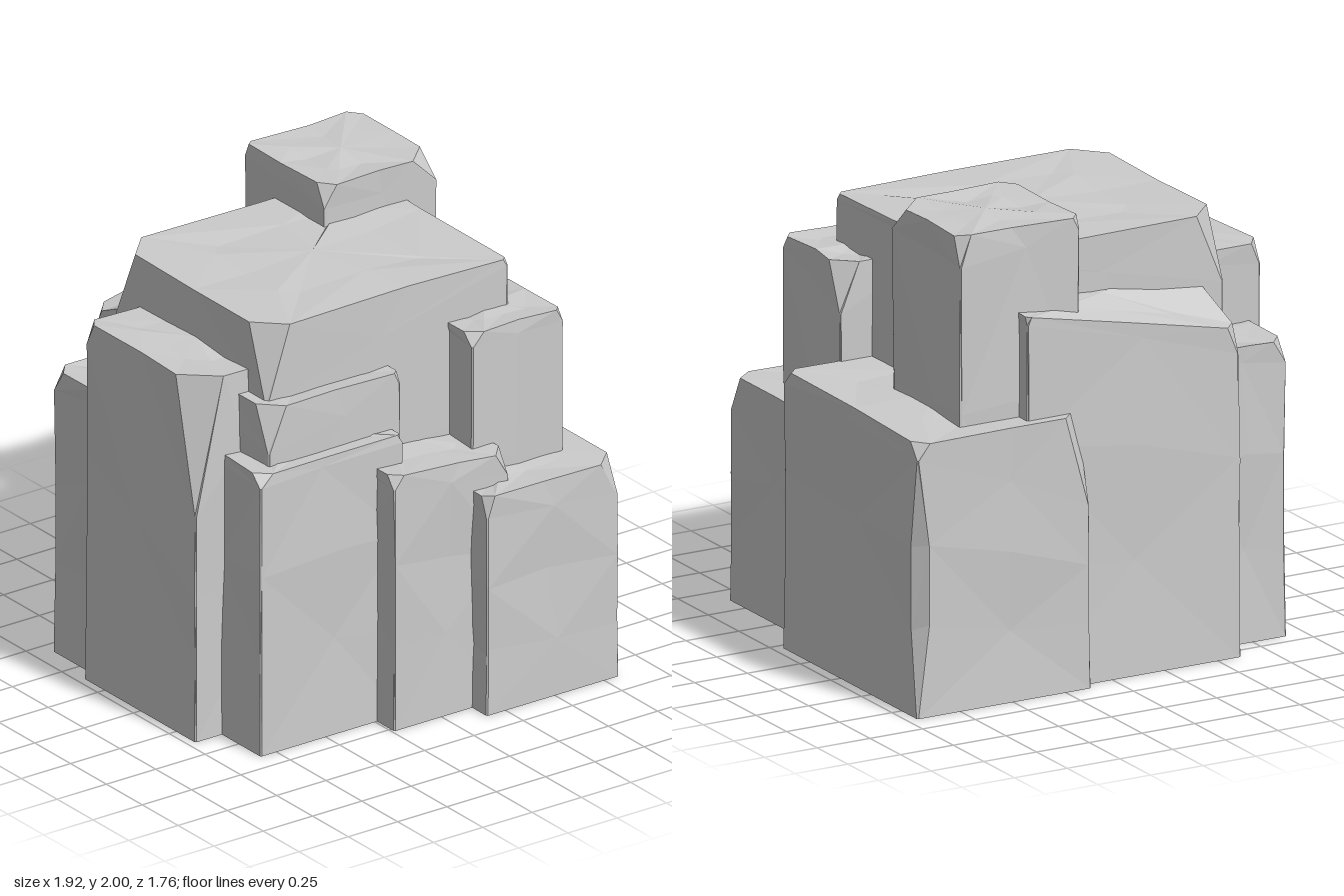
import * as THREE from 'three';

// Small seeded generator for the chiselled unevenness
let seed = 7;
const rnd = () => {
  seed = (seed * 16807) % 2147483647;
  return seed / 2147483647;
};

const material = new THREE.MeshStandardMaterial({ color: 0xcccccc, flatShading: true });

// One stone block. Corners run front-left, front-right, back-right, back-left (-x is "left" here).
// h: top height per corner; cuts: [width, drop] of each top corner bevel; waist: corner bevel at mid height.
function block(name, [x0, x1], [z0, z1], h, cuts, waist = [0, 0, 0, 0]) {
  const heights = Array.isArray(h) ? h : [h, h, h, h];
  const corners = [[x0, z1], [x1, z1], [x1, z0], [x0, z0]];
  const cx = (x0 + x1) / 2, cz = (z0 + z1) / 2;
  const pos = [], index = [], N = 12;
  const toward = (a, b, d) => {
    const l = Math.hypot(b[0] - a[0], b[1] - a[1]);
    return [a[0] + (b[0] - a[0]) * d / l, a[1] + (b[1] - a[1]) * d / l];
  };

  // Rings from the ground to the top rim; corner bevels open only at the last one
  const levels = [0, 0.33, 0.66, 1, 'rim'];
  levels.forEach((t) => {
    const rim = t === 'rim';
    for (let c = 0; c < 4; c++) {
      const p = corners[c], prev = corners[(c + 3) % 4], next = corners[(c + 1) % 4];
      const n = (c + 1) % 4;
      const w = rim ? cuts[c][0] : 0.006 + (t > 0 && t < 1 ? waist[c] : 0);
      const y = rim ? heights[c] : t * (heights[c] - cuts[c][1]);
      const yMid = rim ? (heights[c] + heights[n]) / 2
        : t * ((heights[c] + heights[n]) / 2 - (cuts[c][1] + cuts[n][1]) / 2);
      const k = 0.4 + rnd() * 0.2;
      const mid = [p[0] + (next[0] - p[0]) * k, p[1] + (next[1] - p[1]) * k];
      [[toward(p, prev, w), y, 0.008], [toward(p, next, w), y, 0.008], [mid, yMid, 0.02]].forEach(([q, yy, j]) => {
        const s = t === 0 ? 0 : rnd() * j;
        const dy = rim ? -rnd() * 0.012 : t === 0 ? 0 : (rnd() - 0.5) * 0.06 * (t < 1 ? 1 : 0);
        pos.push(q[0] - Math.sign(q[0] - cx) * s, yy + dy, q[1] - Math.sign(q[1] - cz) * s);
      });
    }
  });

  // Inner ring and centre of the uneven top
  const rimStart = (levels.length - 1) * N;
  const mean = heights.reduce((a, b) => a + b) / 4;
  for (let i = 0; i < N; i++) {
    const b = (rimStart + i) * 3;
    pos.push(cx + (pos[b] - cx) * 0.55, mean + (pos[b + 1] - mean) * 0.55 - rnd() * 0.015, cz + (pos[b + 2] - cz) * 0.55);
  }
  pos.push(cx, mean, cz, cx, 0, cz);
  const top = (levels.length + 1) * N, bottom = top + 1;

  for (let r = 0; r < levels.length; r++) {
    for (let i = 0; i < N; i++) {
      const a = r * N + i, b = r * N + (i + 1) % N;
      if ((i + r) % 2) index.push(a, b, b + N, a, b + N, a + N);
      else index.push(a, b, a + N, b, b + N, a + N);
    }
  }
  for (let i = 0; i < N; i++) {
    const j = (i + 1) % N;
    index.push(top, levels.length * N + i, levels.length * N + j, bottom, j, i);
  }

  const indexed = new THREE.BufferGeometry();
  indexed.setAttribute('position', new THREE.Float32BufferAttribute(pos, 3));
  indexed.setIndex(index);
  const geometry = indexed.toNonIndexed();
  geometry.computeVertexNormals();
  const mesh = new THREE.Mesh(geometry, material);
  mesh.name = name;
  return mesh;
}

export function createModel() {
  seed = 7;
  const group = new THREE.Group();
  group.name = 'rockFormation';
  const s = [0.02, 0.04];

  group.add(
    // Core and the tall tower
    block('coreBlock', [-0.69, 0.545], [-0.55, 0.5], 1.83,
      [[0.12, 0.35], s, s, [0.12, 0.3]]),
    block('tower', [0.11, 0.68], [-0.755, -0.19], 2,
      [[0.06, 0.1], [0.11, 0.12], [0.05, 0.14], [0.03, 0.06]]),

    // Blocks on the right and at the back
    block('rightBlock', [0.13, 0.955], [-0.88, 0.22], [1.2, 1.2, 1.19, 1.19],
      [s, [0.05, 0.06], [0.06, 0.08], [0.11, 0.4]], [0, 0, 0.05, 0]),
    block('backBlock', [-0.61, 0.405], [-0.83, -0.3], [1.62, 1.64, 1.63, 1.43],
      [s, s, s, [0.06, 0.12]]),
    block('backLeftPillar', [-0.91, -0.5], [-0.685, -0.2], 1.28,
      [s, s, s, [0.06, 0.1]]),
    block('leftBlock', [-0.965, -0.4], [-0.39, 0.385], 1.615,
      [[0.14, 0.6], s, s, [0.05, 0.1]]),

    // Stepped slabs across the front
    block('frontUpperSlab', [-0.74, -0.06], [0.1, 0.585], 1.51,
      [[0.09, 0.2], [0.03, 0.06], s, [0.05, 0.1]]),
    block('frontLeftSlab', [-0.83, -0.105], [0.1, 0.655], 1.265,
      [[0.06, 0.06], s, s, s]),
    block('frontMiddleSlab', [-0.24, 0.35], [0.1, 0.775], [1.145, 1.11, 1.11, 1.145],
      [[0.05, 0.06], [0.07, 0.11], s, s]),
    block('frontTallBlock', [0.23, 0.695], [0.2, 0.67], 1.62,
      [[0.06, 0.06], [0.03, 0.06], [0.09, 0.22], s]),
    block('frontRightBlock', [0.155, 0.825], [0.2, 0.878], 0.985,
      [[0.04, 0.1], [0.08, 0.16], s, s]),
  );
  return group;
}
